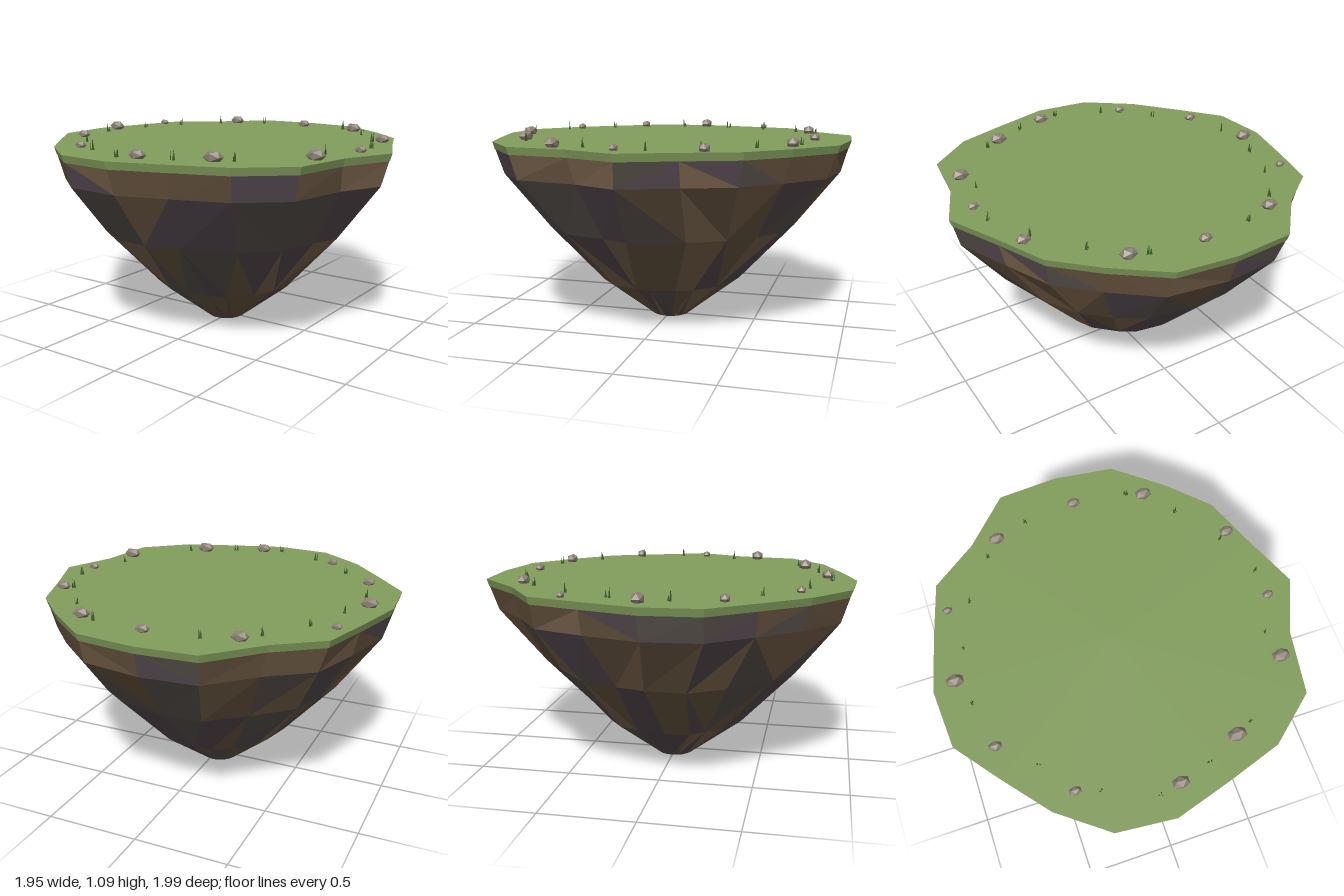
import * as THREE from 'three';

// rim outline of the island seen from above, as [x, z]
const RIM = [
  [0.97, 0], [0.85, 0.28], [0.8, 0.61], [0.56, 0.81], [0.28, 0.9],
  [-0.03, 0.99], [-0.34, 0.96], [-0.59, 0.77], [-0.78, 0.54], [-0.96, 0.31],
  [-0.98, 0], [-0.9, -0.3], [-0.82, -0.57], [-0.58, -0.74], [-0.35, -0.98],
  [-0.03, -1], [0.29, -0.96], [0.54, -0.76], [0.74, -0.56], [0.85, -0.28],
];
const N = RIM.length;
const CX = -0.025; // axis of the rock
const TOP = 1.03;

// small seeded generator
let seed = 7;
const rand = () => {
  seed = (seed * 16807) % 2147483647;
  return seed / 2147483647;
};

const material = (color, side = THREE.FrontSide) =>
  new THREE.MeshStandardMaterial({ color, flatShading: true, side });

function facetMesh(name, points, mat) {
  const geo = new THREE.BufferGeometry().setFromPoints(points);
  geo.computeVertexNormals();
  const mesh = new THREE.Mesh(geo, mat);
  mesh.name = name;
  return mesh;
}

// ring at height y: rim scaled, eased towards a circle, slightly jittered
function ring(y, scale, round = 0, jitter = 0) {
  return RIM.map(([x, z]) => {
    const r = Math.hypot(x - CX, z);
    const a = Math.atan2(z, x - CX) + (rand() - 0.5) * jitter;
    const R = (r + (0.96 - r) * round) * scale * (1 + (rand() - 0.5) * jitter * 0.2);
    return new THREE.Vector3(CX + R * Math.cos(a), y, R * Math.sin(a));
  });
}

// triangles between two rings, each handed to add()
function band(upper, lower, add) {
  for (let i = 0; i < N; i++) {
    const j = (i + 1) % N;
    if (rand() < 0.5) {
      add(upper[j], lower[j], lower[i]);
      add(upper[j], lower[i], upper[i]);
    } else {
      add(upper[j], lower[j], upper[i]);
      add(lower[j], lower[i], upper[i]);
    }
  }
}

// fan closing a ring, facing up or down
function cap(points, up, add) {
  const centre = new THREE.Vector3(CX, points[0].y, 0);
  points.forEach((p, i) => {
    const q = points[(i + 1) % N];
    if (up) add(centre, q, p);
    else add(centre, p, q);
  });
}

function createRock() {
  const group = new THREE.Group();
  group.name = 'rock';
  const rings = [
    ring(0.99, 0.985),
    ring(0.86, 0.95, 0.1, 0.06),
    ring(0.56, 0.725, 0.35, 0.14),
    ring(0.23, 0.41, 0.6, 0.14),
    ring(0, 0.108, 0.9, 0.08),
  ];
  // facets are shared out between earth tones
  const tones = [
    ['brownFacets', 0x66533f], ['greyFacets', 0x58504b],
    ['purpleFacets', 0x564a50], ['tanFacets', 0x78624b],
  ];
  const facets = tones.map(() => []);
  const add = (...tri) => {
    const k = rand();
    facets[k < 0.32 ? 0 : k < 0.6 ? 1 : k < 0.87 ? 2 : 3].push(...tri);
  };
  for (let i = 0; i < rings.length - 1; i++) band(rings[i], rings[i + 1], add);
  tones.forEach(([name, color], i) => group.add(facetMesh(name, facets[i], material(color))));

  const base = [];
  cap(rings[4], false, (...tri) => base.push(...tri));
  group.add(facetMesh('rockBase', base, material(0x4a4348)));
  return group;
}

// thin slab of turf
function createTurf() {
  const points = [];
  const add = (...tri) => points.push(...tri);
  const upper = ring(TOP, 1);
  const lower = ring(0.99, 0.988);
  cap(upper, true, add);
  band(upper, lower, add);
  cap(lower, false, add);
  return facetMesh('turf', points, material(0x829d5c));
}

// pebbles around the rim: x, z, half width
function createStones() {
  const group = new THREE.Group();
  group.name = 'stones';
  const geo = new THREE.IcosahedronGeometry(1, 0);
  const mat = material(0x8a8073);
  [
    [-0.44, -0.73, 0.042], [0.02, -0.81, 0.035], [0.4, -0.74, 0.044],
    [0.75, -0.375, 0.038], [0.82, 0.045, 0.03], [0.75, 0.385, 0.047],
    [0.385, 0.7, 0.049], [0.04, 0.835, 0.044], [-0.455, 0.71, 0.031],
    [-0.76, 0.375, 0.035], [-0.86, -0.015, 0.046], [-0.8, -0.405, 0.027],
  ].forEach(([x, z, r]) => {
    const stone = new THREE.Mesh(geo, mat);
    stone.name = 'stone';
    stone.scale.set(r * 1.1, r * 0.7, r * 0.78);
    stone.position.set(x, TOP + r * 0.4, z);
    group.add(stone);
  });
  return group;
}

// tufts of three flat upright blades each
function createGrass() {
  const group = new THREE.Group();
  group.name = 'grass';
  const mat = material(0x3f6130, THREE.DoubleSide);
  [
    [-0.78, -0.18], [-0.68, -0.42], [-0.52, -0.65], [-0.26, -0.78],
    [0.31, -0.77], [0.53, -0.58], [0.7, -0.34], [0.81, -0.1],
    [0.72, 0.24], [0.47, 0.66], [0.21, 0.78], [-0.07, 0.86],
    [-0.34, 0.75], [-0.58, 0.53], [-0.81, 0.12],
  ].forEach(([x, z]) => {
    const points = [];
    for (let i = 0; i < 3; i++) {
      const a = (i * Math.PI) / 3 + rand();
      const dx = Math.cos(a), dz = Math.sin(a);
      const bx = x + (rand() - 0.5) * 0.02, bz = z + (rand() - 0.5) * 0.02;
      const lean = (rand() - 0.5) * 0.01;
      points.push(
        new THREE.Vector3(bx - dx * 0.007, TOP, bz - dz * 0.007),
        new THREE.Vector3(bx + dx * 0.007, TOP, bz + dz * 0.007),
        new THREE.Vector3(bx + dx * lean, TOP + 0.03 + rand() * 0.026, bz + dz * lean),
      );
    }
    group.add(facetMesh('grassTuft', points, mat));
  });
  return group;
}

export function createModel() {
  const island = new THREE.Group();
  island.name = 'floatingIsland';
  island.add(createRock(), createTurf(), createStones(), createGrass());
  return island;
}
